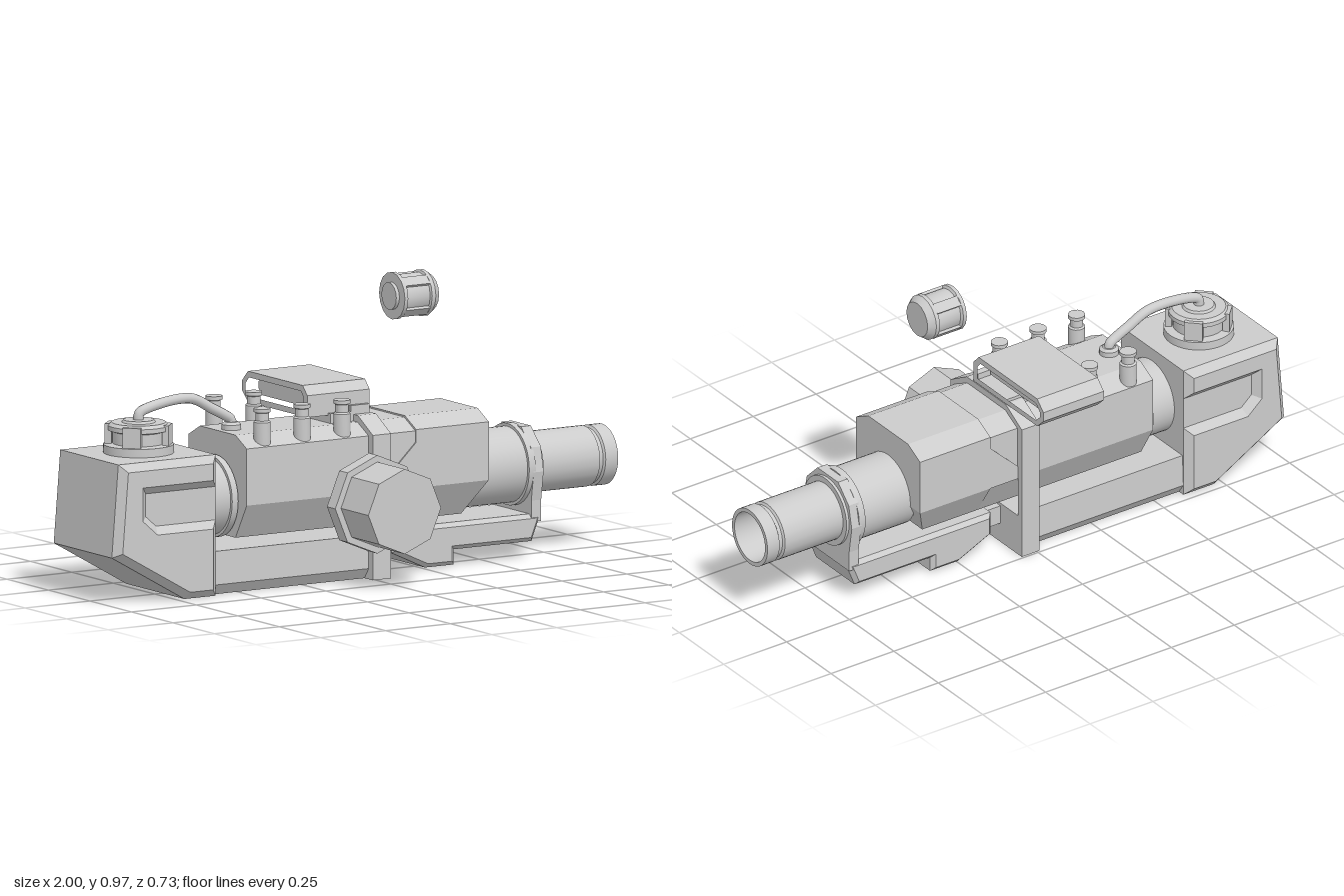
import * as THREE from 'three';
import { toCreasedNormals } from 'three/addons/utils/BufferGeometryUtils.js';
import { ConvexGeometry } from 'three/addons/geometries/ConvexGeometry.js';

const AXIS_Y = 0.295; // height of the barrel axis

export function createModel() {
  const model = new THREE.Group();
  model.name = 'mountedLauncher';
  const body = new THREE.Group(); // everything is built around z = 0, then shifted back
  body.name = 'assembly';
  body.position.z = -0.043;
  model.add(body);
  const mat = new THREE.MeshStandardMaterial({ color: 0xcccccc });

  const add = (name, geo, x = 0, y = 0, z = 0) => {
    const m = new THREE.Mesh(geo, mat);
    m.name = name;
    m.position.set(x, y, z);
    body.add(m);
    return m;
  };
  const box = (name, x0, x1, y0, y1, z0, z1) =>
    add(name, new THREE.BoxGeometry(x1 - x0, y1 - y0, z1 - z0), (x0 + x1) / 2, (y0 + y1) / 2, (z0 + z1) / 2);
  const shapeOf = pts => new THREE.Shape(pts.map(p => new THREE.Vector2(...p)));
  // side outline [x, y] extruded across z, optionally with chamfered edges
  const extrudeZ = (pts, z0, z1, bevel = 0) =>
    new THREE.ExtrudeGeometry(shapeOf(pts), {
      depth: z1 - z0 - 2 * bevel, bevelEnabled: bevel > 0, bevelSize: bevel,
      bevelThickness: bevel, bevelOffset: -bevel, bevelSegments: 1,
    }).translate(0, 0, z0 + bevel);
  // cross-section [z, y] extruded along x, optionally with a hole
  const extrudeX = (pts, x0, x1, hole) => {
    const flip = list => list.map(([z, y]) => [-z, y]);
    const shape = shapeOf(flip(pts));
    if (hole) shape.holes.push(shapeOf(flip(hole)));
    return new THREE.ExtrudeGeometry(shape, { depth: x1 - x0, bevelEnabled: false })
      .rotateY(Math.PI / 2).translate(x0, 0, 0);
  };
  // mirrored cross-section from [halfWidth, y] rows listed top to bottom
  const mirror = rows => [...rows, ...rows.map(([w, y]) => [-w, y]).reverse()];
  // turned part from [radius, height] points
  const lathe = (pts, sides = 40) =>
    toCreasedNormals(new THREE.LatheGeometry(pts.map(p => new THREE.Vector2(...p)), sides), 0.6);
  // turned part along x from [x, radius] points
  const turnX = (pts, sides) => lathe(pts.map(([x, r]) => [r, x]), sides).rotateZ(-Math.PI / 2);

  // Rear block: core plus chamfered side plates with an open notch
  const blockSide = [[-0.6, 0], [-0.6, 0.465], [-0.975, 0.465], [-1, 0.16], [-0.72, 0]];
  const notched = [[-0.6, 0], [-0.6, 0.25], [-0.83, 0.25], [-0.87, 0.285], [-0.87, 0.36],
    [-0.6, 0.36], [-0.6, 0.465], [-0.975, 0.465], [-1, 0.16], [-0.72, 0]].reverse();
  add('rearBlock', extrudeZ(blockSide, -0.175, 0.175));
  for (const s of [-1, 1]) {
    add('rearBlockSide', extrudeZ(notched, s > 0 ? 0.13 : -0.2, s > 0 ? 0.2 : -0.13, 0.025));
  }

  // Lower tray
  add('tray', extrudeX(mirror([[0.17, 0.145], [0.175, 0.035], [0.15, 0]]), -0.62, 0));

  // Receiver: chamfered hull, its front underside cut back
  const section = [[0.107, 0.508], [0.175, 0.472], [0.175, 0.285], [0.107, 0.17]];
  const hull = (x0, x1, cut, grow) => new ConvexGeometry(section.flatMap(([w, y], i) =>
    [-1, 1].flatMap(s => [x0, i === 3 ? x1 - cut : x1].map(x =>
      new THREE.Vector3(x, y + (i < 2 ? grow : 0), s * (w + (i < 3 ? grow : 0)))))));
  add('receiver', hull(-0.48, 0.449, 0.06, 0));
  add('frontReceiver', hull(0.17, 0.45, 0.06, 0.005));
  add('receiverCheek', extrudeZ([[0.06, 0.285], [0.18, 0.285], [0.18, 0.445], [0.165, 0.43], [0.06, 0.33]], -0.18, 0.18));

  // Clamp band around receiver and tray
  add('clampBand', extrudeX(
    mirror([[0.11, 0.53], [0.2, 0.477], [0.2, 0]]), -0.01, 0.06,
    mirror([[0.105, 0.5], [0.17, 0.468], [0.178, 0.285], [0.178, 0.145]])));
  box('bracketLink', 0.05, 0.14, 0.07, 0.135, -0.08, 0.08);

  // Rear shaft and stepped barrel with an open bore
  add('rearShaft', turnX([[-0.62, 0.125], [-0.51, 0.125], [-0.51, 0.135], [-0.487, 0.135], [-0.487, 0.12], [-0.47, 0.12]]), 0, AXIS_Y);
  add('barrel', turnX([
    [0.43, 0], [0.43, 0.125], [0.635, 0.125], [0.635, 0.135], [0.66, 0.135], [0.66, 0.12], [0.7, 0.12],
    [0.7, 0.1], [0.93, 0.1], [0.935, 0.092], [0.947, 0.092], [0.952, 0.1], [1, 0.1], [1, 0.086], [0.74, 0.082], [0.74, 0],
  ]), 0, AXIS_Y);

  // Barrel bracket and its collar
  add('barrelBracket', extrudeZ([[0.12, 0.065], [0.25, 0.005], [0.36, 0.005], [0.36, 0.055], [0.66, 0.055],
    [0.69, 0.13], [0.69, 0.145], [0.12, 0.145]], -0.122, 0.122, 0.014));
  add('barrelCollar', extrudeX(mirror([[0.058, 0.425], [0.118, 0.365], [0.135, 0.285], [0.12, 0.19], [0.12, 0.12]]), 0.652, 0.69));

  // Octagonal side knob
  for (const [name, r, z0, z1] of [['knobFlange', 0.162, 0.193, 0.243], ['knob', 0.14, 0.24, 0.408]]) {
    const g = new THREE.CylinderGeometry(r, r, z1 - z0, 8).toNonIndexed();
    g.computeVertexNormals();
    add(name, g.rotateX(Math.PI / 2), -0.02, 0.257, (z0 + z1) / 2);
  }
  box('knobMount', -0.06, 0.05, 0.2, 0.34, 0.16, 0.2);

  // Side-reaching carry handle with recessed ends
  const outer = [[0.071, 0.533], [0.071, 0.605], [0.043, 0.635], [-0.287, 0.635], [-0.322, 0.6], [-0.322, 0.567], [-0.287, 0.533]];
  const inner = [[0.048, 0.552], [0.048, 0.597], [0.033, 0.615], [-0.28, 0.615], [-0.302, 0.593], [-0.302, 0.573], [-0.28, 0.552]];
  add('handle', extrudeX(outer, -0.18, 0.06, inner));
  add('handleWeb', extrudeX(inner, -0.13, 0.01));
  box('handleSeat', -0.1, 0.05, 0.5, 0.54, -0.1, 0.085);
  box('handleStep', -0.02, 0.05, 0.52, 0.56, 0.06, 0.085);

  // Pegs on the shoulders of the receiver
  const peg = lathe([[0, 0], [0.028, 0], [0.028, 0.075], [0.022, 0.08], [0.022, 0.105], [0.028, 0.108], [0.028, 0.12], [0, 0.12]], 16);
  for (const [x, z] of [[-0.4, 0.143], [-0.247, 0.143], [-0.093, 0.143], [-0.4, -0.147], [-0.247, -0.147]]) {
    add('peg', peg, x, 0.475, z);
  }

  // Filler cap on the rear block, with grip lugs
  const capX = -0.785;
  add('fillerCap', lathe([[0, 0], [0.115, 0], [0.115, 0.033], [0.085, 0.036], [0.085, 0.075],
    [0.1, 0.08], [0.1, 0.095], [0.088, 0.105], [0.055, 0.105], [0.05, 0.113], [0, 0.113]]), capX, 0.46, 0);
  for (let i = 0; i < 4; i++) {
    const a = Math.PI / 4 + i * Math.PI / 2;
    const lug = add('capLug', new THREE.BoxGeometry(0.022, 0.07, 0.06), capX + Math.cos(a) * 0.095, 0.525, Math.sin(a) * 0.095);
    lug.rotation.y = -a;
  }

  // Hose from cap to receiver
  const hose = new THREE.CatmullRomCurve3([
    [capX, 0.56, 0], [-0.783, 0.592, 0], [-0.75, 0.607, 0], [-0.58, 0.622, -0.008],
    [-0.5, 0.582, -0.003], [-0.45, 0.555, 0], [-0.43, 0.54, 0], [-0.428, 0.5, 0],
  ].map(p => new THREE.Vector3(...p)), false, 'centripetal');
  add('hose', new THREE.TubeGeometry(hose, 40, 0.017, 12));
  add('hoseSocket', lathe([[0, 0], [0.032, 0], [0.032, 0.02], [0.022, 0.028], [0, 0.028]], 20), -0.428, 0.505, 0);

  // Spare cap held above the receiver, with ribs along its side
  add('spareCap', turnX([[0.18, 0], [0.18, 0.045], [0.192, 0.045], [0.192, 0.078], [0.205, 0.078], [0.21, 0.069],
    [0.295, 0.069], [0.298, 0.077], [0.312, 0.077], [0.335, 0.06], [0.335, 0]], 16), 0, 0.89, 0);
  for (let i = 0; i < 4; i++) {
    const a = i * Math.PI / 2 + Math.PI / 4;
    const rib = add('spareCapRib', new THREE.BoxGeometry(0.1, 0.012, 0.035), 0.25, 0.89 + Math.cos(a) * 0.069, Math.sin(a) * 0.069);
    rib.rotation.x = a;
  }
  return model;
}
